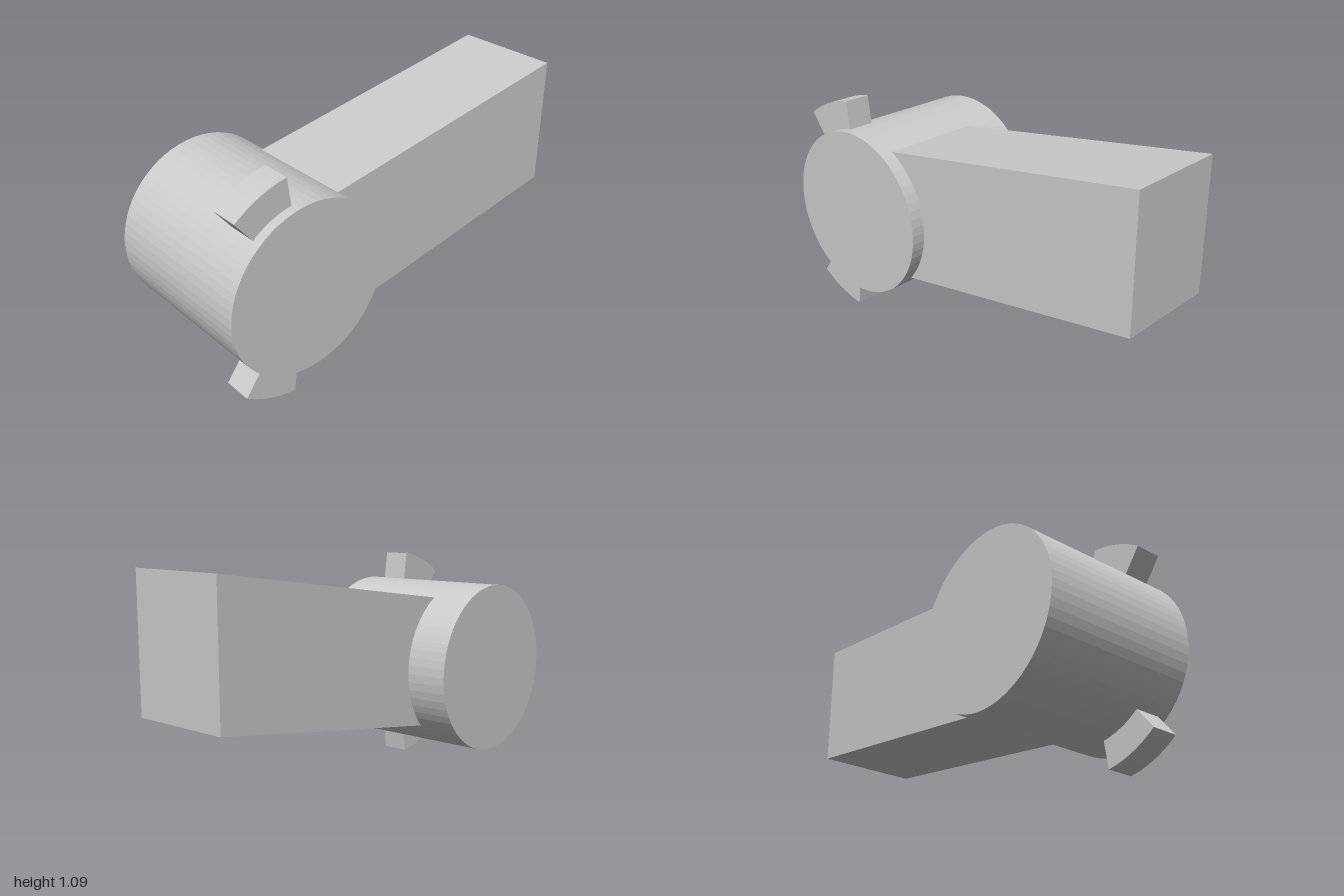
import * as THREE from 'three';

const material = new THREE.MeshStandardMaterial({ color: 0xcccccc, flatShading: true });
const CY = 0.546, CZ = 0.588, R = 0.412, LUG_R = 0.548;

// Extrudes a side profile (drawn as z, y) across the model from x0 to x1.
function extrudeAcross(name, shape, x0, x1) {
  const geometry = new THREE.ExtrudeGeometry(shape, { depth: x1 - x0, bevelEnabled: false, curveSegments: 6 });
  geometry.rotateY(-Math.PI / 2).translate(x1, 0, 0);
  const mesh = new THREE.Mesh(geometry, material);
  mesh.name = name;
  return mesh;
}

// Ring sector around the barrel axis, slightly sunk into the barrel.
function lugShape(startDeg, endDeg) {
  const a = THREE.MathUtils.degToRad(startDeg), b = THREE.MathUtils.degToRad(endDeg);
  const shape = new THREE.Shape();
  shape.absarc(CZ, CY, LUG_R, a, b, false);
  shape.absarc(CZ, CY, R - 0.03, b, a, true);
  shape.closePath();
  return shape;
}

export function createModel() {
  const group = new THREE.Group();

  // Barrel lying across the front
  const barrel = new THREE.Mesh(new THREE.CylinderGeometry(R, R, 0.796, 64).rotateZ(Math.PI / 2), material);
  barrel.name = 'barrel';
  barrel.position.set(-0.002, CY, CZ);
  group.add(barrel);

  // Arm rising towards a vertical back face
  const armShape = new THREE.Shape([
    [-1, 0.451], [0.5, 0.242], [0.5, 0.881], [-1, 1.09],
  ].map(([z, y]) => new THREE.Vector2(z, y)));
  group.add(extrudeAcross('arm', armShape, -0.19, 0.325));

  // Lugs above and below the barrel
  group.add(extrudeAcross('upperLug', lugShape(52.6, 82.4), 0.215, 0.35));
  group.add(extrudeAcross('lowerLug', lugShape(-82.4, -52.6), 0.215, 0.35));

  return group;
}
